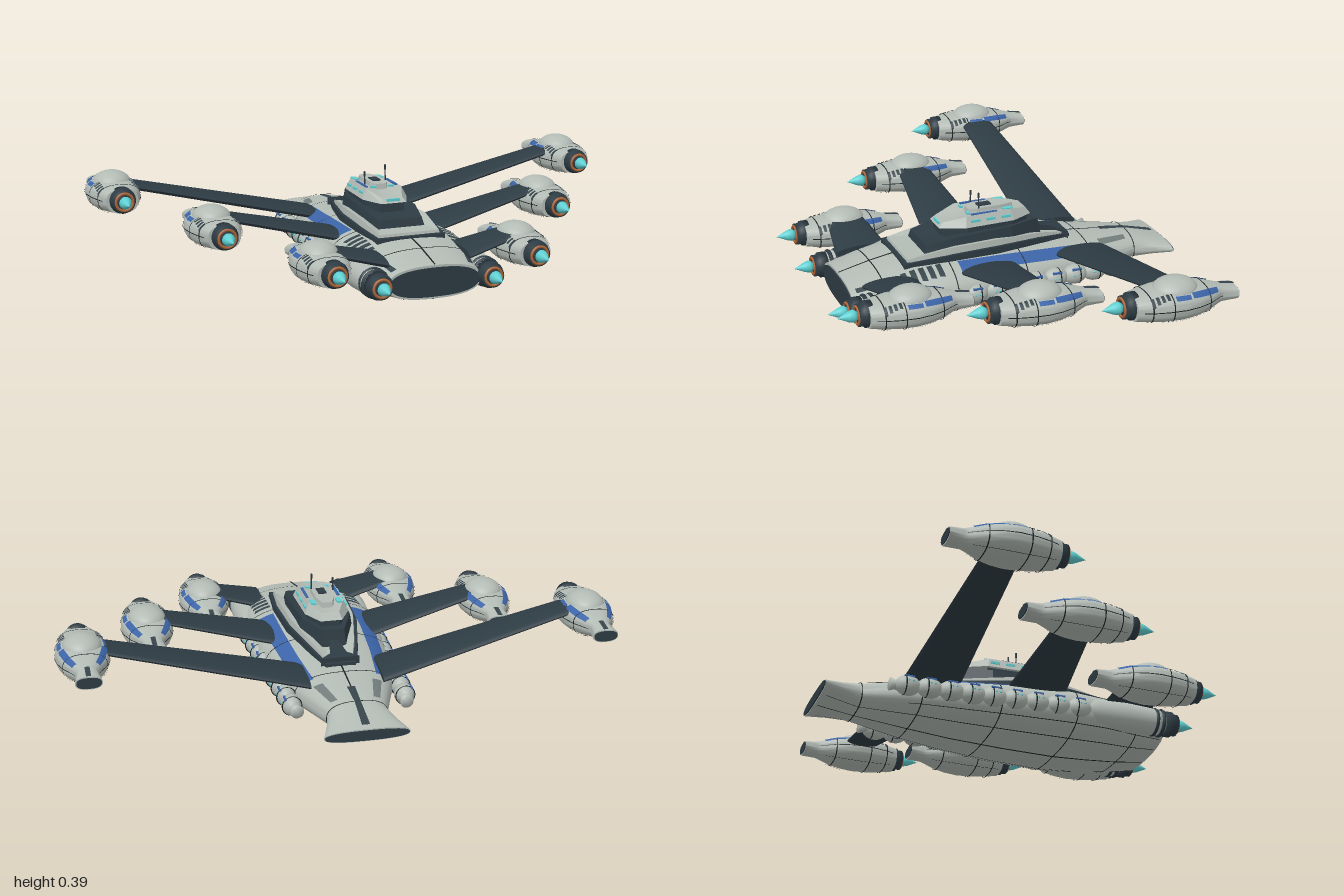
import * as THREE from 'three';
import { toCreasedNormals } from 'three/addons/utils/BufferGeometryUtils.js';

const mat = (name, color, side = THREE.FrontSide) => {
  const m = new THREE.MeshStandardMaterial({ color, side });
  m.name = name;
  return m;
};
const M = {
  plate: mat('light grey plating', 0xb3bbb5),
  dark: mat('dark slate', 0x2d3b43),
  grey: mat('mid grey', 0x727d7b, THREE.DoubleSide),
  vent: mat('vent slate', 0x36444a, THREE.DoubleSide),
  blue: mat('blue paint', 0x3c64a8, THREE.DoubleSide),
  line: mat('panel line', 0x1b2224, THREE.DoubleSide),
  cyan: mat('cyan glow', 0x5fcfd2),
  copper: mat('copper', 0xb0673a),
};
const POW = 2.5, TAU = Math.PI * 2;
const sgnPow = (v, p) => Math.sign(v) * Math.abs(v) ** p;

function add(parent, name, geo, material, x = 0, y = 0, z = 0) {
  const m = new THREE.Mesh(geo, material);
  m.name = name;
  m.position.set(x, y, z);
  parent.add(m);
  return m;
}

// Skin over rows of points; closed rows wrap round and get end caps
function skin(rows, closed = true, crease = 0.6) {
  const n = rows[0].length, pos = [], idx = [];
  rows.forEach(r => r.forEach(p => pos.push(...p)));
  for (let i = 0; i < rows.length - 1; i++)
    for (let j = 0; j < (closed ? n : n - 1); j++) {
      const a = i * n + j, b = i * n + (j + 1) % n;
      idx.push(a, b, a + n, b, b + n, a + n);
    }
  if (closed) [0, rows.length - 1].forEach((r, end) => {
    const mid = [0, 1, 2].map(k => rows[r].reduce((s, p) => s + p[k], 0) / n);
    const c = pos.length / 3;
    pos.push(...mid);
    for (let j = 0; j < n; j++) {
      const a = r * n + j, b = r * n + (j + 1) % n;
      idx.push(c, ...(end ? [a, b] : [b, a]));
    }
  });
  const g = new THREE.BufferGeometry();
  g.setAttribute('position', new THREE.Float32BufferAttribute(pos, 3));
  g.setIndex(idx);
  return toCreasedNormals(g, crease);
}

// Stations are [z, half width, bottom, middle, top]
function station(st, z) {
  let i = 0;
  while (i < st.length - 2 && z > st[i + 1][0]) i++;
  const t = (z - st[i][0]) / (st[i + 1][0] - st[i][0]);
  return st[i].map((v, k) => v + (st[i + 1][k] - v) * t);
}
function surf(st, z, a, off = 0) {
  const [, w, lo, mid, hi] = station(st, z), s = Math.sin(a);
  return [(w + off) * sgnPow(Math.cos(a), 2 / POW),
    mid + ((s > 0 ? hi - mid : mid - lo) + off) * sgnPow(s, 2 / POW), z];
}
const ring = (st, z, off = 0, n = 48) => Array.from({ length: n }, (_, j) => surf(st, z, j / n * TAU, off));
const body = st => skin(st.map(s => ring(st, s[0])));
// Thin painted patch, angles [a, b] at each end
function patch(parent, name, st, z0, z1, e0, e1, material) {
  const zs = [z0, ...st.map(s => s[0]).filter(z => z > z0 && z < z1), z1];
  const n = Math.max(2, Math.ceil(Math.abs(e0[1] - e0[0]) / 0.08));
  add(parent, name, skin(zs.map(z => {
    const t = (z - z0) / (z1 - z0);
    const a = e0[0] + (e1[0] - e0[0]) * t, b = e0[1] + (e1[1] - e0[1]) * t;
    return Array.from({ length: n + 1 }, (_, j) => surf(st, z, a + (b - a) * j / n, 0.003));
  }), false), material);
}
// Patch on the upper side given by x ranges
function topPatch(parent, name, st, z0, z1, x0, x1, material) {
  const ang = (x, z) => Math.acos(sgnPow(Math.max(-1, Math.min(1, x / station(st, z)[1])), POW / 2));
  patch(parent, name, st, z0, z1, x0.map(x => ang(x, z0)), x1.map(x => ang(x, z1)), material);
}
const band = (p, st, z) => patch(p, 'panelSeam', st, z, z + 0.004, [0, TAU], [0, TAU], M.line);
const seam = (p, st, a, z0, z1, w = 0.012) => patch(p, 'panelSeam', st, z0, z1, [a - w, a + w], [a - w, a + w], M.line);

// Tier built from half outline points [x, z, top y], listed back to front
function tier(parent, name, pts, y0, shrink, material) {
  const full = [...pts.slice().reverse(), ...pts.map(([x, z, y]) => [-x, z, y])];
  const mid = (pts[0][1] + pts[pts.length - 1][1]) / 2;
  add(parent, name, skin([full.map(([x, z]) => [x, y0, z]),
    full.map(([x, z, y]) => [x * shrink, y, mid + (z - mid) * (shrink + 1) / 2])], true, 0.3), material);
}

const lathe = pts => new THREE.LatheGeometry(pts.map(p => new THREE.Vector2(...p)), 24).rotateX(Math.PI / 2);
// Nozzle, copper ring and glowing plume, pointing to +z
function engine(parent, x, y, z) {
  const g = new THREE.Group();
  g.name = 'engine';
  g.position.set(x, y, z);
  parent.add(g);
  add(g, 'nozzle', lathe([[0, -0.02], [0.047, -0.02], [0.047, 0.008], [0.04, 0.012], [0.04, 0.03], [0, 0.03]]), M.dark);
  add(g, 'nozzleRing', new THREE.TorusGeometry(0.031, 0.005, 8, 24), M.copper, 0, 0, 0.031);
  add(g, 'plume', lathe([[0, 0.027], [0.015, 0.03], [0.023, 0.044], [0.018, 0.062], [0.006, 0.088], [0, 0.102]]), M.cyan);
}

const HULL = [
  [-0.70, 0.15, 0.066, 0.088, 0.11], [-0.63, 0.125, 0.056, 0.09, 0.128], [-0.56, 0.105, 0.046, 0.09, 0.146],
  [-0.36, 0.175, 0.026, 0.09, 0.168], [-0.2, 0.208, 0.012, 0.09, 0.184], [0, 0.236, 0.003, 0.09, 0.198],
  [0.2, 0.25, 0, 0.09, 0.203], [0.33, 0.238, 0.006, 0.09, 0.198], [0.45, 0.205, 0.015, 0.09, 0.178], [0.57, 0.172, 0.032, 0.09, 0.15]];
const POD = [
  [-0.22, 0.046, -0.028, -0.004, 0.018], [-0.165, 0.036, -0.034, -0.002, 0.028], [-0.15, 0.042, -0.038, 0, 0.032],
  [-0.10, 0.072, -0.049, 0, 0.044], [-0.05, 0.088, -0.055, 0, 0.05], [0, 0.094, -0.058, 0, 0.053],
  [0.06, 0.088, -0.056, 0, 0.051], [0.11, 0.076, -0.051, 0, 0.047], [0.158, 0.058, -0.045, 0, 0.042]];

function nacelle(x, y, z) {
  const g = new THREE.Group();
  g.name = 'nacelle';
  g.position.set(x, y, z);
  add(g, 'nacelleBody', body(POD), M.plate);
  const dome = add(g, 'nacelleDome', new THREE.SphereGeometry(1, 32, 20), M.plate, 0, 0.035, 0);
  dome.scale.set(0.068, 0.045, 0.08);
  topPatch(g, 'tailStripe', POD, -0.22, -0.165, [-0.008, 0.008], [-0.008, 0.008], M.vent);
  for (const s of [-1, 1]) {
    topPatch(g, 'blueFlank', POD, -0.14, -0.03, [s * 0.03, s * 0.044], [s * 0.062, s * 0.08], M.blue);
    topPatch(g, 'blueFlankFront', POD, -0.022, 0.032, [s * 0.069, s * 0.082], [s * 0.067, s * 0.081], M.blue);
    for (let i = 0; i < 4; i++) {
      const v = 0.05 + i * 0.018;
      topPatch(g, 'nacelleVent', POD, v, v + 0.011, [s * 0.052, s * 0.075], [s * 0.052, s * 0.073], M.vent);
    }
    seam(g, POD, s > 0 ? 0 : Math.PI, -0.16, 0.14);
    seam(g, POD, Math.PI * 1.5 + s * 0.6, -0.14, 0.14);
  }
  [-0.1, 0.04, 0.11].forEach(v => band(g, POD, v));
  add(g, 'tailPlate', skin([-0.223, -0.219].map(v => ring(POD, -0.22, -0.004).map(p => [p[0], p[1], v]))), M.dark);
  engine(g, 0, 0.002, 0.16);
  return g;
}

// Swept strut between two chords [x, z back, z front]
function wing(s, root, tip) {
  const rows = [root, tip].map(([x, z0, z1], k) => Array.from({ length: 24 }, (_, j) => {
    const a = j / 24 * TAU;
    return [s * x, 0.165 + 0.24 * (x - 0.2) + (k ? 0.016 : 0.021) * Math.cos(a), (z0 + z1) / 2 + (z1 - z0) / 2 * Math.sin(a)];
  }));
  return skin(s > 0 ? rows : rows.reverse());
}

export function createModel() {
  const ship = new THREE.Group();
  ship.name = 'starship';

  // Hull with dark end plates, seams and painted panels
  add(ship, 'hull', body(HULL), M.plate);
  for (const [z, d, o] of [[0.57, 0.004, -0.008], [-0.70, -0.003, -0.004]])
    add(ship, z > 0 ? 'bowPlate' : 'sternPlate',
      skin([z - 0.003, z + 0.003].map(v => ring(HULL, z, o).map(p => [p[0], p[1], v + d / 2]))), M.dark);
  [-0.56, -0.36, -0.08, 0.2, 0.45].forEach(z => band(ship, HULL, z));
  seam(ship, HULL, Math.PI / 2, 0.36, 0.57, 0.006);
  seam(ship, HULL, Math.PI / 2, -0.46, -0.28, 0.006);
  seam(ship, HULL, Math.PI * 1.5, -0.69, 0.56, 0.006);
  topPatch(ship, 'tailStripe', HULL, -0.68, -0.46, [-0.014, 0.014], [-0.014, 0.014], M.vent);
  for (const s of [-1, 1]) {
    topPatch(ship, 'blueStripe', HULL, -0.37, 0.17, [s * 0.11, s * 0.153], [s * 0.147, s * 0.2], M.blue);
    topPatch(ship, 'tailPanel', HULL, -0.53, -0.41, [s * 0.062, s * 0.085], [s * 0.088, s * 0.12], M.grey);
    for (let i = 0; i < 6; i++) {
      const z = 0.235 + i * 0.033;
      topPatch(ship, 'hullVent', HULL, z, z + 0.02, [s * 0.145, s * 0.205], [s * 0.145, s * 0.2], M.vent);
    }
    topPatch(ship, 'bowPanel', HULL, 0.46, 0.55, [s * 0.15, s * 0.165], [s * 0.13, s * 0.15], M.vent);
    seam(ship, HULL, Math.PI * 1.5 + s * 0.55, -0.68, 0.56);
    seam(ship, HULL, Math.PI * 1.5 + s * 1.05, -0.4, 0.56);

    // Row of side tanks
    for (let i = 0; i < 9; i++) {
      const z = 0.21 - i * 0.079, x = s * (0.203 + (z + 0.42) * 0.05);
      const tank = add(ship, 'sideTank', new THREE.SphereGeometry(1, 20, 14), M.plate, x, 0.093, z);
      tank.scale.set(0.034, 0.037, 0.047);
      add(ship, 'tankSeam', new THREE.TorusGeometry(0.0345, 0.0022, 6, 24), M.line, x, 0.093, z - 0.012);
      for (const d of [-0.004, 0.012])
        add(ship, 'tankLight', new THREE.SphereGeometry(0.004, 8, 6), M.cyan, x + s * 0.032, 0.1, z + d);
      add(ship, 'tankPaint', new THREE.BoxGeometry(0.008, 0.007, 0.036), M.blue, x + s * 0.022, 0.119, z);
    }
    add(ship, 'tankTail', lathe([[0, -0.065], [0.024, -0.065], [0.017, -0.045], [0.03, 0]]), M.plate, s * 0.195, 0.093, -0.42);

    // Bow engines
    add(ship, 'engineHousing', lathe([[0.03, 0.22], [0.05, 0.28], [0.055, 0.4], [0.05, 0.5], [0.045, 0.55], [0, 0.55]]), M.plate, s * 0.205, 0.097, 0);
    for (const z of [0.515, 0.54])
      add(ship, 'engineCollar', new THREE.TorusGeometry(0.045, 0.008, 8, 24), M.dark, s * 0.205, 0.097, z);
    engine(ship, s * 0.205, 0.097, 0.573);

    // Struts and nacelles
    add(ship, 'outerWing', wing(s, [0.13, -0.42, -0.21], [0.87, -0.355, -0.235]), M.dark);
    add(ship, 'middleWing', wing(s, [0.15, -0.045, 0.18], [0.61, 0.01, 0.13]), M.dark);
    add(ship, 'innerWing', wing(s, [0.15, 0.33, 0.53], [0.35, 0.36, 0.5]), M.dark);
    ship.add(nacelle(s * 0.902, 0.294, -0.3), nacelle(s * 0.636, 0.224, 0.065), nacelle(s * 0.37, 0.158, 0.43));
  }

  // Stepped superstructure
  tier(ship, 'deckTrim', [[0.055, -0.315, 0.183], [0.09, -0.2, 0.2], [0.135, 0, 0.213], [0.145, 0.2, 0.213], [0.13, 0.365, 0.2]], 0.14, 0.98, M.dark);
  tier(ship, 'lowerDeck', [[0.05, -0.31, 0.19], [0.085, -0.2, 0.215], [0.13, 0, 0.235], [0.14, 0.2, 0.235], [0.125, 0.36, 0.21]], 0.14, 0.9, M.plate);
  tier(ship, 'middleDeck', [[0.045, -0.2, 0.26], [0.1, -0.07, 0.265], [0.112, 0.16, 0.26], [0.09, 0.275, 0.24]], 0.2, 0.9, M.dark);
  tier(ship, 'towerBase', [[0.035, -0.15, 0.285], [0.07, -0.08, 0.29], [0.075, 0.1, 0.29], [0.045, 0.19, 0.285]], 0.25, 0.95, M.dark);
  tier(ship, 'tower', [[0.04, -0.16, 0.308], [0.08, -0.08, 0.322], [0.085, 0.11, 0.32], [0.048, 0.2, 0.3]], 0.283, 0.8, M.plate);
  tier(ship, 'towerCap', [[0.02, -0.1, 0.328], [0.036, -0.05, 0.331], [0.036, 0.05, 0.331], [0.022, 0.08, 0.328]], 0.3, 0.9, M.plate);
  add(ship, 'roofHatch', new THREE.BoxGeometry(0.03, 0.006, 0.05), M.dark, 0, 0.331, 0.01);
  tier(ship, 'aftWedge', [[0.07, -0.3, 0.2], [0.03, -0.27, 0.206], [0.014, -0.19, 0.225]], 0.17, 1, M.dark);
  add(ship, 'bridgeWindow', new THREE.BoxGeometry(0.05, 0.009, 0.008), M.cyan, 0, 0.293, 0.191);
  for (const s of [-1, 1]) {
    for (const z of [-0.05, 0.01, 0.07])
      add(ship, 'towerWindow', new THREE.BoxGeometry(0.006, 0.009, 0.035), M.cyan, s * 0.075, 0.302, z);
    add(ship, 'towerPaint', new THREE.BoxGeometry(0.01, 0.005, 0.1), M.blue, s * 0.058, 0.321, 0.03);
    add(ship, 'roofLight', new THREE.BoxGeometry(0.018, 0.006, 0.04), M.cyan, s * 0.048, 0.321, -0.065);
    add(ship, 'foreLight', new THREE.BoxGeometry(0.02, 0.006, 0.012), M.cyan, s * 0.034, 0.32, 0.085);
  }
  // Masts
  for (const [x, h] of [[-0.05, 0.05], [0.03, 0.07]]) {
    add(ship, 'mast', new THREE.CylinderGeometry(0.002, 0.003, h, 8), M.dark, x, 0.32 + h / 2, 0.04);
    add(ship, 'mastHead', new THREE.CylinderGeometry(0.0035, 0.0035, 0.018, 8), M.dark, x, 0.31 + h, 0.04);
  }
  return ship;
}
